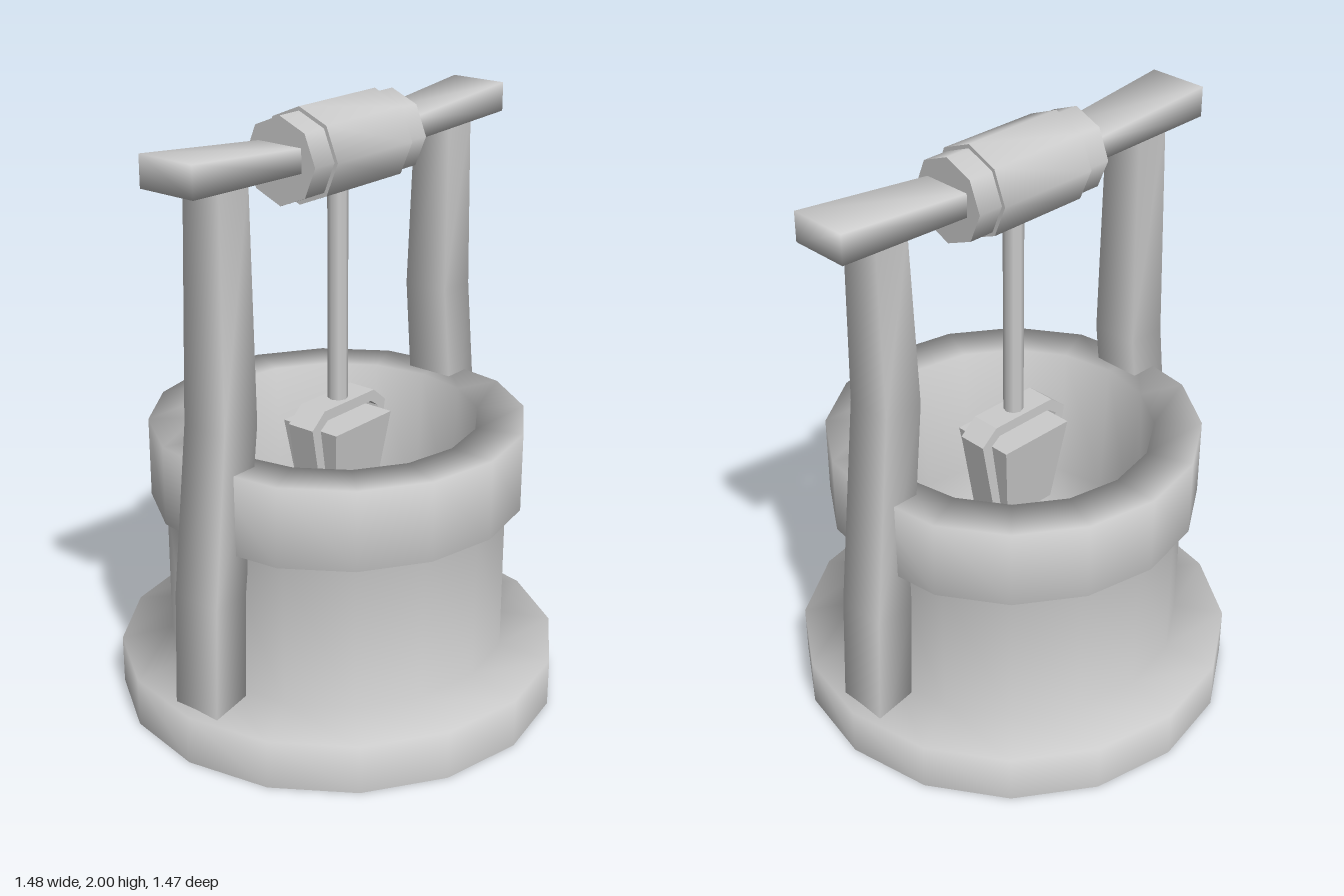
import * as THREE from 'three';
import { toCreasedNormals } from 'three/addons/utils/BufferGeometryUtils.js';

const material = new THREE.MeshStandardMaterial({ color: 0xcccccc, side: THREE.DoubleSide });

// Skins a run of four-cornered rings and closes both ends; normals are shared so it shades softly
function loft(rings) {
  const n = 4, index = [];
  for (let k = 0; k < rings.length - 1; k++) {
    for (let i = 0; i < n; i++) {
      const a = k * n + i, b = k * n + (i + 1) % n;
      index.push(a, b, b + n, a, b + n, a + n);
    }
  }
  const e = (rings.length - 1) * n;
  index.push(0, 2, 1, 0, 3, 2, e, e + 1, e + 2, e, e + 2, e + 3);
  const geometry = new THREE.BufferGeometry();
  geometry.setAttribute('position', new THREE.Float32BufferAttribute(rings.flat(2), 3));
  geometry.setIndex(index);
  geometry.computeVertexNormals();
  return geometry;
}

// Level ring from x0 to x1 at height y, half depth z
const levelRing = ([y, x0, x1, z]) => [[x1, y, z], [x1, y, -z], [x0, y, -z], [x0, y, z]];
// Upright ring from y0 to y1 at position x, half depth z
const uprightRing = ([x, y0, y1, z]) => [[x, y1, -z], [x, y1, z], [x, y0, z], [x, y0, -z]];

export function createModel() {
  const model = new THREE.Group();
  const add = (name, geometry) => {
    const mesh = new THREE.Mesh(geometry, material);
    mesh.name = name;
    model.add(mesh);
    return mesh;
  };

  // Stone ring: open skirt, wall, overhanging rim and inner basin in one turned profile
  const profile = [
    [0.735, 0], [0.735, 0.165], [0.565, 0.2], [0.565, 0.7], [0.615, 0.7],
    [0.615, 0.965], [0.46, 0.965], [0.43, 0.5], [0.385, 0.07], [0, 0.07],
  ].map(([r, y]) => new THREE.Vector2(r, y));
  const stone = new THREE.LatheGeometry(profile, 16);
  // Wall and rim are slightly flattened where the posts stand
  const p = stone.attributes.position;
  for (let i = 0; i < p.count; i++) {
    if (p.getY(i) < 0.19) continue;
    const limit = Math.hypot(p.getX(i), p.getZ(i)) > 0.6 ? 0.6 : 0.55;
    p.setX(i, THREE.MathUtils.clamp(p.getX(i), -limit, limit));
  }
  add('stoneWell', stone);

  // Bent timber posts, each with its own kink: [y, x0, x1, half depth]
  add('rightPost', loft([
    [0.01, -0.7, -0.565, 0.088], [0.55, -0.68, -0.55, 0.088],
    [1.1, -0.62, -0.478, 0.083], [1.85, -0.605, -0.482, 0.07],
  ].map(levelRing)));
  add('leftPost', loft([
    [0.01, 0.565, 0.7, 0.088], [0.55, 0.54, 0.675, 0.088],
    [1.28, 0.465, 0.6, 0.081], [1.85, 0.482, 0.6, 0.07],
  ].map(levelRing)));

  // Crossbeam rising and widening towards both ends: [x, y0, y1, half depth]
  add('crossbeam', loft([
    [-0.74, 1.845, 1.945, 0.103], [-0.25, 1.825, 1.9, 0.083],
    [0.25, 1.825, 1.9, 0.083], [0.74, 1.85, 1.945, 0.1],
  ].map(uprightRing)));

  // Winding drum with a wider middle, eight-sided with a corner on top
  const drum = (name, radius, length) => {
    const geometry = new THREE.CylinderGeometry(radius, radius, length, 8).rotateZ(Math.PI / 2);
    add(name, toCreasedNormals(geometry, 1)).position.y = 1.85;
  };
  drum('drumCollars', 0.137, 0.535);
  drum('drum', 0.15, 0.36);

  // Rope
  add('rope', new THREE.CylinderGeometry(0.033, 0.033, 0.76, 8)).position.y = 1.36;

  // Tapered bucket hanging in the mouth of the well
  add('bucket', toCreasedNormals(loft([
    [0.66, -0.1, 0.1, 0.075], [0.955, -0.14, 0.14, 0.11],
  ].map(levelRing)), 0.5));

  // Flat hoop carrying the bucket
  const hoop = new THREE.Shape([
    [-0.13, 0.66], [-0.185, 0.97], [-0.125, 1.02], [0.125, 1.02], [0.185, 0.97], [0.13, 0.66],
    [0.1, 0.66], [0.145, 0.96], [0.11, 0.985], [-0.11, 0.985], [-0.145, 0.96], [-0.1, 0.66],
  ].map(([x, y]) => new THREE.Vector2(x, y)));
  add('bucketHoop', new THREE.ExtrudeGeometry(hoop, { depth: 0.1, bevelEnabled: false })).position.z = -0.05;

  return model;
}
